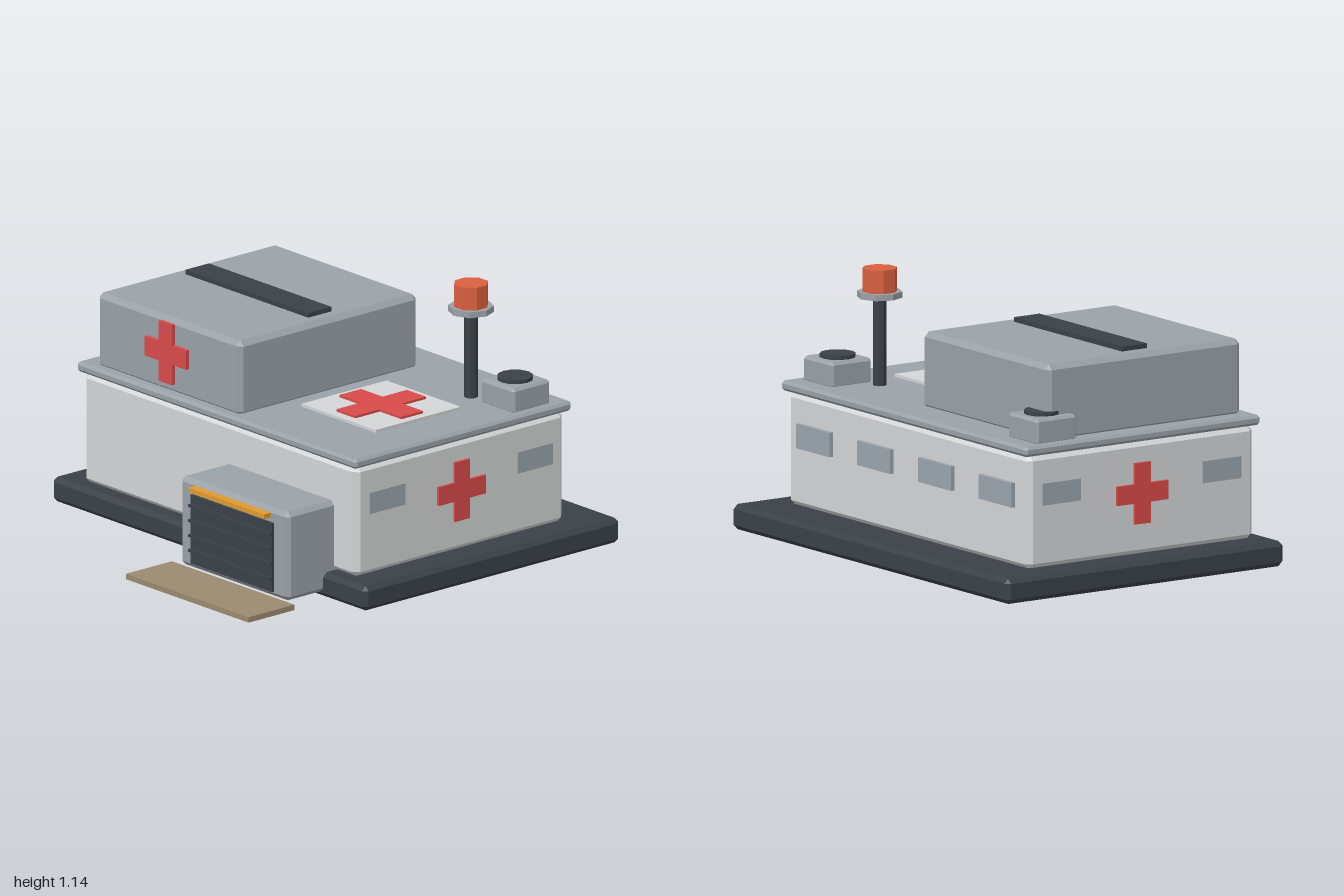
import * as THREE from 'three';
import { ConvexGeometry } from 'three/addons/geometries/ConvexGeometry.js';

const paint = (name, color) => {
  const m = new THREE.MeshStandardMaterial({ color });
  m.name = name;
  return m;
};

// Box with every edge and corner chamfered by b
function chamferBox(w, h, d, b) {
  const pts = [];
  for (const sx of [-1, 1]) for (const sy of [-1, 1]) for (const sz of [-1, 1]) {
    for (let axis = 0; axis < 3; axis++) {
      const p = [w / 2 - b, h / 2 - b, d / 2 - b];
      p[axis] += b;
      pts.push(new THREE.Vector3(sx * p[0], sy * p[1], sz * p[2]));
    }
  }
  return new ConvexGeometry(pts);
}

// Plus-shaped plate facing +z, its back on z = 0
function crossGeometry(size, arm, depth) {
  const s = size / 2, a = arm / 2;
  const outline = [[-a, -s], [a, -s], [a, -a], [s, -a], [s, a], [a, a],
    [a, s], [-a, s], [-a, a], [-s, a], [-s, -a], [-a, -a]];
  const shape = new THREE.Shape(outline.map(([x, y]) => new THREE.Vector2(x, y)));
  return new THREE.ExtrudeGeometry(shape, { depth, bevelEnabled: false });
}

export function createModel() {
  const model = new THREE.Group();
  model.name = 'fieldHospital';

  const wall = paint('wallWhite', 0xd3d5d6);
  const grey = paint('panelGrey', 0x9aa2a8);
  const glass = paint('windowGrey', 0x9aa5ad);
  const dark = paint('darkSteel', 0x3a4147);
  const red = paint('crossRed', 0xd94a4a);
  const beaconMat = paint('beaconOrange', 0xd9603f);
  const amber = paint('lampAmber', 0xe09a30);
  const tan = paint('rampTan', 0x9c8a70);

  const add = (name, geometry, material, x = 0, y = 0, z = 0) => {
    const mesh = new THREE.Mesh(geometry, material);
    mesh.name = name;
    mesh.position.set(x, y, z);
    model.add(mesh);
    return mesh;
  };
  // Box given by its limits on each axis, with optional chamfer
  const block = (name, material, [x0, x1], [y0, y1], [z0, z1], b = 0) => {
    const size = [x1 - x0, y1 - y0, z1 - z0];
    const g = b ? chamferBox(...size, b) : new THREE.BoxGeometry(...size);
    return add(name, g, material, (x0 + x1) / 2, (y0 + y1) / 2, (z0 + z1) / 2);
  };
  const drum = (name, material, r, y0, y1, x, z, sides, turn = 0) => {
    const g = new THREE.CylinderGeometry(r, r, y1 - y0, sides).toNonIndexed();
    g.computeVertexNormals();
    add(name, g, material, x, (y0 + y1) / 2, z).rotation.y = turn;
  };

  // Main building
  block('foundation', dark, [-1, 1], [0, 0.108], [-0.945, 0.487], 0.02);
  block('mainBuilding', wall, [-0.87, 0.87], [0.1, 0.595], [-0.747, 0.425], 0.027);
  block('roofSlab', grey, [-0.888, 0.888], [0.592, 0.635], [-0.77, 0.444], 0.012);

  // Upper storey with roof strip and front cross
  block('upperStorey', grey, [-0.805, 0.107], [0.62, 0.953], [-0.598, 0.403], 0.022);
  block('roofStrip', dark, [-0.738, 0.042], [0.945, 0.973], [-0.167, -0.037]);
  add('frontCross', crossGeometry(0.265, 0.085, 0.02), red, -0.348, 0.8, 0.4);

  // Side crosses and windows
  for (const side of [-1, 1]) {
    const cross = add('sideCross', crossGeometry(0.262, 0.082, 0.02), red, side * 0.862, 0.37, -0.161);
    cross.rotation.y = side * Math.PI / 2;
    for (const z of [0.252, -0.574])
      add('sideWindow', new THREE.BoxGeometry(0.02, 0.094, 0.198), glass, side * 0.866, 0.421, z);
  }
  // Rear windows
  for (const x of [-0.66, -0.22, 0.22, 0.66])
    add('rearWindow', new THREE.BoxGeometry(0.24, 0.105, 0.03), glass, x, 0.413, -0.75);

  // Landing pad with cross
  block('landingPad', wall, [0.195, 0.667], [0.625, 0.648], [-0.34, 0.135]);
  add('padCross', crossGeometry(0.395, 0.122, 0.015), red, 0.431, 0.643, -0.103)
    .rotation.x = -Math.PI / 2;

  // Roof vents
  for (const side of [-1, 1]) {
    block('ventHousing', grey, [side * 0.742 - 0.105, side * 0.742 + 0.105],
      [0.625, 0.738], [-0.685, -0.475], 0.012);
    drum('ventFan', dark, 0.076, 0.73, 0.754, side * 0.74, -0.58, 12);
  }

  // Beacon mast
  drum('beaconMast', dark, 0.029, 0.63, 1.02, 0.562, -0.49, 8);
  drum('beaconCollar', grey, 0.097, 1.012, 1.038, 0.562, -0.49, 8);
  drum('beaconLamp', beaconMat, 0.075, 1.038, 1.138, 0.562, -0.49, 8, Math.PI / 8);

  // Garage with slatted door, lamp and ramp
  block('garage', grey, [0.046, 0.732], [0.022, 0.413], [0.36, 0.686], 0.02);
  block('garageDoor', dark, [0.128, 0.648], [0.048, 0.352], [0.66, 0.697]);
  for (let i = 0; i < 4; i++)
    add('doorSlat', new THREE.BoxGeometry(0.52, 0.012, 0.03), dark, 0.388, 0.108 + i * 0.066, 0.695);
  block('doorLamp', amber, [0.148, 0.628], [0.373, 0.393], [0.67, 0.725]);
  block('ramp', tan, [0, 0.78], [0, 0.024], [0.688, 0.945]);

  return model;
}
